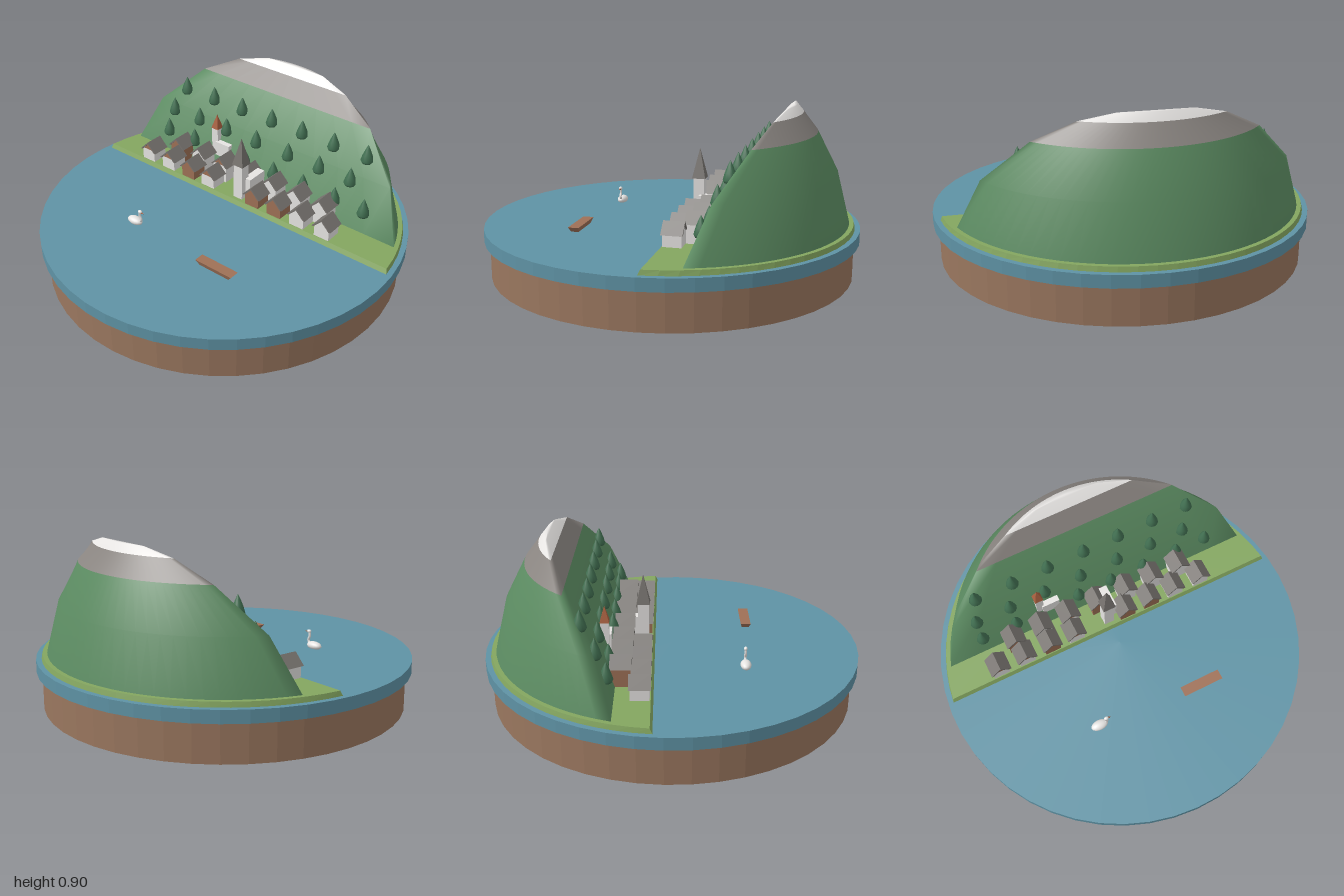
import * as THREE from 'three';

const mat = (name, color) => {
  const m = new THREE.MeshStandardMaterial({ color });
  m.name = name;
  return m;
};

export function createModel() {
  const M = {
    earth: mat('earth brown', 0x9a775f),
    water: mat('lake blue', 0x5f93a5),
    land: mat('meadow green', 0x84a660),
    hill: mat('mountain green', 0x5c8c62),
    tree: mat('tree green', 0x427052),
    rock: mat('rock grey', 0x8a8581),
    white: mat('white', 0xe6e4e2),
    roof: mat('roof grey', 0x77736f),
    timber: mat('timber brown', 0x9e7056),
    brick: mat('brick orange', 0xa8603f),
  };
  const model = new THREE.Group();
  model.name = 'lakeVillage';

  const add = (parent, name, geo, material, x = 0, y = 0, z = 0) => {
    const mesh = new THREE.Mesh(geo, material);
    mesh.name = name;
    mesh.position.set(x, y, z);
    parent.add(mesh);
    return mesh;
  };
  const group = (parent, name, x = 0, y = 0, z = 0) => {
    const g = new THREE.Group();
    g.name = name;
    g.position.set(x, y, z);
    parent.add(g);
    return g;
  };
  const flat = (geo) => {
    const g = geo.index ? geo.toNonIndexed() : geo;
    g.computeVertexNormals();
    return g;
  };

  // Round base and lake
  add(model, 'base', flat(new THREE.CylinderGeometry(0.97, 0.97, 0.2, 48)), M.earth, 0, 0.1, 0);
  add(model, 'lake', flat(new THREE.CylinderGeometry(1, 1, 0.065, 48)), M.water, 0, 0.2325, 0);

  // Everything else is turned so that the shore runs diagonally
  const scene = group(model, 'landscape');
  scene.rotation.y = -0.35;

  // Loft of circle segments, each level = [radius, distance of straight front, y]
  const ARC = 32, FRONT = 10;
  const loft = (levels, capped) => {
    const pos = [], idx = [], n = ARC + FRONT;
    for (const [r, d, y] of levels) {
      const t0 = Math.acos(d / r), w = r * Math.sin(t0);
      for (let i = 0; i < ARC; i++) {
        const t = -t0 + (2 * t0 * i) / ARC;
        pos.push(r * Math.sin(t), y, -r * Math.cos(t));
      }
      for (let i = 0; i < FRONT; i++) pos.push(w - (2 * w * i) / FRONT, y, -d);
    }
    for (let l = 0; l < levels.length - 1; l++) {
      for (let i = 0; i < n; i++) {
        const a = l * n + i, b = l * n + ((i + 1) % n);
        idx.push(a, a + n, b, b, a + n, b + n);
      }
    }
    if (capped) {
      const [r, d, y] = levels[levels.length - 1], o = (levels.length - 1) * n, c = pos.length / 3;
      pos.push(0, y, -(r + d) / 2);
      for (let i = 0; i < n; i++) idx.push(c, o + ((i + 1) % n), o + i);
    }
    const g = new THREE.BufferGeometry();
    g.setAttribute('position', new THREE.Float32BufferAttribute(pos, 3));
    g.setIndex(idx);
    g.computeVertexNormals();
    return g;
  };
  add(scene, 'meadow', flat(loft([[0.972, 0.09, 0.262], [0.965, 0.103, 0.29]], true)), M.land);
  const L = [[0.942, 0.278, 0.288], [0.874, 0.38, 0.555], [0.765, 0.515, 0.765], [0.688, 0.585, 0.865], [0.656, 0.629, 0.905]];
  add(scene, 'mountainSlope', loft(L.slice(0, 3)), M.hill);
  add(scene, 'rockBand', loft(L.slice(2, 4)), M.rock);
  add(scene, 'snowCap', loft(L.slice(3), true), M.white);

  // Trees in three rows on the front slope: [height, distance back, places]
  const treeGeo = new THREE.LatheGeometry(
    [[0, 0], [0.028, 0.004], [0.035, 0.018], [0.026, 0.05], [0.012, 0.085], [0, 0.11]].map((p) => new THREE.Vector2(...p)), 12);
  const rows = [
    [0.615, 0.43, [-0.63, -0.42, -0.215, -0.005, 0.2, 0.405, 0.612]],
    [0.49, 0.362, [-0.672, -0.477, -0.275, -0.06, 0.16, 0.365, 0.562]],
    [0.37, 0.312, [-0.677, -0.477, -0.1, 0.1, 0.3, 0.504, 0.685]],
  ];
  for (const [y, d, places] of rows) for (const u of places) add(scene, 'tree', treeGeo, M.tree, u, y, -d);

  // Extruded outline, centred along z
  const prism = (pts, depth) => {
    const g = new THREE.ExtrudeGeometry(new THREE.Shape(pts.map((p) => new THREE.Vector2(...p))), { depth, bevelEnabled: false });
    return g.translate(0, 0, -depth / 2);
  };
  const gableGeo = prism([[-0.045, 0], [0.045, 0], [0, 0.043]], 0.094);
  const roofGeo = prism([[-0.058, -0.01], [-0.046, -0.01], [0, 0.037], [0.046, -0.01], [0.058, -0.01], [0, 0.049]], 0.108);

  // Houses with the gable towards the lake: [place, wall, gable]
  const house = (u, d, wallH, wall, gable) => {
    const h = group(scene, 'house', u, 0.288, -d);
    add(h, 'walls', new THREE.BoxGeometry(0.09, wallH, 0.094), wall, 0, wallH / 2, 0);
    add(h, 'gable', gableGeo, gable, 0, wallH, 0);
    add(h, 'roof', roofGeo, M.roof, 0, wallH, 0);
  };
  const { white: W, timber: T } = M;
  [[-0.664, W, T], [-0.508, W, T], [-0.355, T, T], [-0.208, W, T], [0.105, T, T], [0.254, T, T], [0.404, W, W], [0.564, W, W]]
    .forEach(([u, a, b]) => house(u, 0.155, 0.072, a, b));
  [[-0.524, T, T], [-0.358, W, W], [-0.197, W, T], [-0.021, T, T], [0.153, W, W], [0.316, W, W], [0.482, W, W]]
    .forEach(([u, a, b]) => house(u, 0.25, 0.108, a, b));

  // Towers with four-sided spires and a white nave
  const church = (name, u, d, size, top, spireR, spireH, spireMat, nave) => {
    const c = group(scene, name, u, 0, -d);
    add(c, 'tower', new THREE.BoxGeometry(size, top - 0.288, size), M.white, 0, (top + 0.288) / 2, 0);
    const spire = add(c, 'spire', flat(new THREE.ConeGeometry(spireR * Math.SQRT2, spireH, 4)), spireMat, 0, top + spireH / 2, 0);
    spire.rotation.y = Math.PI / 4;
    const [w, h, l, x, z] = nave;
    add(c, 'nave', new THREE.BoxGeometry(w, h, l), M.white, x, 0.288 + h / 2, z);
  };
  church('lakeChurch', -0.003, 0.153, 0.058, 0.5, 0.036, 0.16, M.roof, [0.06, 0.125, 0.13, 0.03, -0.07]);
  church('hillChapel', -0.326, 0.338, 0.042, 0.53, 0.024, 0.085, M.brick, [0.1, 0.165, 0.05, 0.06, 0.005]);

  // Rowing boat: a box narrowed at the bottom
  const hull = new THREE.BoxGeometry(0.23, 0.028, 0.056);
  const hp = hull.attributes.position;
  for (let i = 0; i < hp.count; i++) {
    if (hp.getY(i) < 0) hp.setXYZ(i, hp.getX(i) * 0.8, hp.getY(i), hp.getZ(i) * 0.7);
  }
  add(scene, 'boat', flat(hull), M.timber, 0.29, 0.278, 0.417);

  // Swan
  const swan = group(scene, 'swan', -0.31, 0.265, 0.378);
  const ball = new THREE.SphereGeometry(1, 16, 12);
  add(swan, 'body', ball, M.white, 0, 0.014, 0).scale.set(0.048, 0.022, 0.028);
  const neck = new THREE.CatmullRomCurve3(
    [[0.03, 0.018], [0.045, 0.035], [0.036, 0.06], [0.038, 0.085]].map(([x, y]) => new THREE.Vector3(x, y, 0)));
  add(swan, 'neck', new THREE.TubeGeometry(neck, 12, 0.007, 8), M.white);
  add(swan, 'head', ball, M.white, 0.041, 0.086, 0).scale.set(0.013, 0.01, 0.01);
  add(swan, 'beak', new THREE.ConeGeometry(0.005, 0.018, 8), M.brick, 0.06, 0.083, 0).rotation.z = -Math.PI / 2;

  return model;
}
